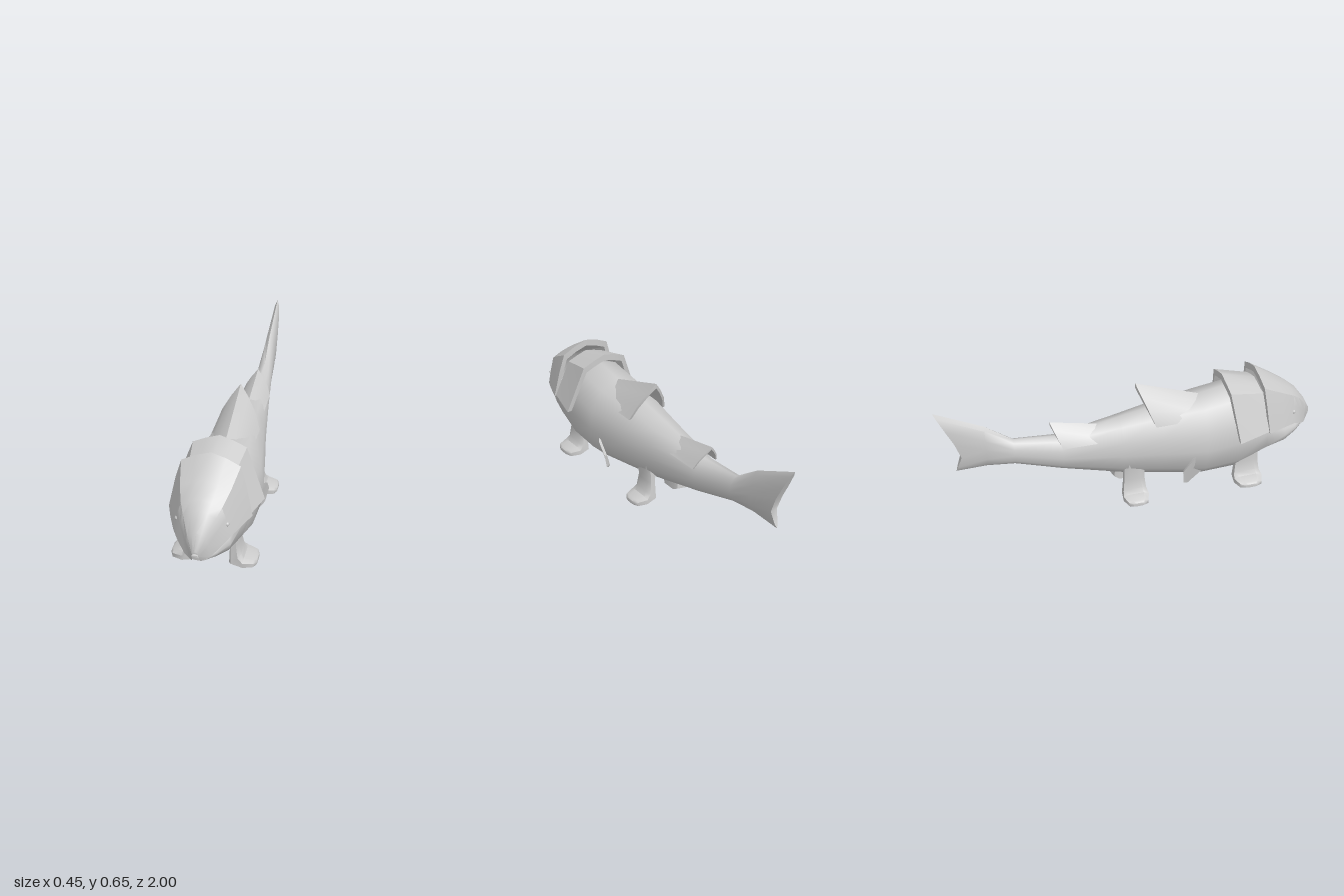
import * as THREE from 'three';
import { toCreasedNormals } from 'three/addons/utils/BufferGeometryUtils.js';

const material = new THREE.MeshStandardMaterial({ color: 0xcccccc, side: THREE.DoubleSide });
const lerp = THREE.MathUtils.lerp;

// Closed solid through a list of equal-length rings of [x, y, z]; ends are capped with strips.
function loft(name, rings, crease = 0.85) {
  const n = rings[0].length, last = (rings.length - 1) * n, index = [];
  const quad = (a, b, c, d) => index.push(a, b, c, a, c, d);
  for (let r = 0; r < rings.length - 1; r++) {
    for (let i = 0; i < n; i++) {
      const j = (i + 1) % n;
      quad(r * n + i, r * n + j, (r + 1) * n + j, (r + 1) * n + i);
    }
  }
  for (let i = 0; i < Math.floor(n / 2) - 1; i++) {
    const c = [i, n - 1 - i, n - 2 - i, i + 1];
    quad(...c);
    quad(...c.reverse().map((k) => k + last));
  }
  if (n % 2) {
    const m = (n - 1) / 2;
    index.push(m - 1, m + 1, m, last + m, last + m + 1, last + m - 1);
  }
  // Turn the faces outward if the enclosed volume is negative
  const p = rings.flat().map((v) => new THREE.Vector3(...v));
  let volume = 0;
  for (let i = 0; i < index.length; i += 3) {
    volume += p[index[i]].dot(p[index[i + 1]].clone().cross(p[index[i + 2]]));
  }
  if (volume < 0) index.reverse();
  const geometry = new THREE.BufferGeometry();
  geometry.setAttribute('position', new THREE.Float32BufferAttribute(rings.flat(2), 3));
  geometry.setIndex(index);
  const mesh = new THREE.Mesh(toCreasedNormals(geometry, crease), material);
  mesh.name = name;
  return mesh;
}

// Body section: [x share of half width, y share of height] from belly to back
const BODY_SIDE = [[0.5, 0.07], [0.92, 0.24], [1, 0.48], [0.92, 0.7], [0.58, 0.92]];
function bodyRing([z, top, bottom, w, zTop = z, zBottom = z]) {
  const point = (x, f) => [
    x * w, lerp(bottom, top, f),
    f < 0.28 ? lerp(zBottom, z, f / 0.28) : lerp(z, zTop, (f - 0.28) / 0.72),
  ];
  return [
    point(0, 0), ...BODY_SIDE.map(([x, f]) => point(x, f)),
    point(0, 1), ...[...BODY_SIDE].reverse().map(([x, f]) => point(-x, f)),
  ];
}

// Thick hood arching over the body: outer arc, then inner arc back again.
// Section: [zTop, zBottom, top, bottom, half width]; profile: [x share, share of the way down]
function hood(name, profile, sections, inner = 0.88) {
  const arc = [...[...profile].reverse().map(([x, d]) => [-x, d]), ...profile.slice(1)];
  return loft(name, sections.map(([zTop, zBottom, top, bottom, w]) => {
    const place = (k) => ([x, d]) => [
      x * w * k, bottom + (top - bottom) * (1 - d) * k, lerp(zTop, zBottom, d),
    ];
    return [...arc.map(place(1)), ...[...arc].reverse().map(place(inner))];
  }), 0.7);
}

// Leg sections: [x, y, turn, half thickness, half width along z], hip to toe
const LEG = [
  [0.1, 0.22, 0, 0.03, 0.06],
  [0.103, 0.12, 0, 0.021, 0.062],
  [0.107, 0.036, 0.78, 0.042, 0.07],
  [0.15, 0.021, Math.PI / 2, 0.021, 0.078],
  [0.2, 0.018, Math.PI / 2, 0.017, 0.06],
  [0.212, 0.017, Math.PI / 2, 0.01, 0.035],
];
const OCTAGON = [[1, 0.6], [0.6, 1], [-0.6, 1], [-1, 0.6], [-1, -0.6], [-0.6, -1], [0.6, -1], [1, -0.6]];
function leg(name, side, dx, z, widthScale) {
  return loft(name, LEG.map(([x, y, turn, t, w]) => OCTAGON.map(([u, v]) => [
    side * (x + dx + Math.cos(turn) * t * u),
    Math.max(0, y + Math.sin(turn) * t * u),
    z + w * widthScale * v,
  ])));
}

// Outline of the side fin's outer face
const FIN = [
  [0.165, 0.25, 0.31], [0.19, 0.235, 0.275], [0.19, 0.17, 0.225], [0.172, 0.09, 0.235],
  [0.14, 0.06, 0.27], [0.122, 0.1, 0.34], [0.14, 0.16, 0.37],
];

export function createModel() {
  const model = new THREE.Group();
  model.name = 'armouredFish';

  // Body from lower jaw to forked tail: [z, top, bottom, half width, zTop, zBottom]
  model.add(loft('body', [
    [0.95, 0.255, 0.232, 0.035],
    [0.9, 0.285, 0.212, 0.08],
    [0.82, 0.32, 0.178, 0.125],
    [0.7, 0.5, 0.12, 0.165],
    [0.54, 0.55, 0.048, 0.185],
    [0.36, 0.52, 0.045, 0.188],
    [0.13, 0.49, 0.083, 0.15],
    [-0.07, 0.455, 0.12, 0.115],
    [-0.38, 0.4, 0.205, 0.07],
    [-0.62, 0.425, 0.28, 0.042],
    [-0.76, 0.53, 0.292, 0.032],
    [-0.88, 0.65, 0.29, 0.02, -1, -0.915],
  ].map(bodyRing), 1));

  // Head plate and overlapping collar plate
  model.add(hood('headPlate', [[0, 0], [0.36, 0.07], [0.7, 0.18], [0.84, 0.5], [1, 1]], [
    [1, 0.975, 0.315, 0.25, 0.022],
    [0.96, 0.95, 0.39, 0.262, 0.06],
    [0.9, 0.9, 0.47, 0.3, 0.108],
    [0.86, 0.86, 0.503, 0.322, 0.135],
    [0.785, 0.785, 0.555, 0.33, 0.168],
    [0.665, 0.695, 0.63, 0.33, 0.2],
  ]));
  model.add(hood('collarPlate', [[0, 0], [0.3, 0.07], [0.58, 0.16], [0.75, 0.5], [1, 1]], [
    [0.67, 0.695, 0.565, 0.335, 0.19],
    [0.485, 0.525, 0.615, 0.315, 0.225],
  ]));

  // Back fins, spread like small roofs
  const ridge = [[0, 0], [0.38, 0.28], [0.75, 0.62], [1, 1]];
  model.add(hood('frontBackFin', ridge, [
    [0.36, 0.31, 0.52, 0.43, 0.115],
    [0.02, 0.1, 0.64, 0.43, 0.115],
  ]));
  model.add(hood('rearBackFin', ridge, [
    [-0.14, -0.2, 0.425, 0.365, 0.08],
    [-0.43, -0.38, 0.49, 0.365, 0.077],
  ]));

  for (const [side, label] of [[1, 'left'], [-1, 'right']]) {
    model.add(leg(label + 'FrontLeg', side, 0, 0.61, 1));
    model.add(leg(label + 'RearLeg', side, -0.017, -0.012, 0.88));

    // Thin side fin
    const face = (inset) => FIN.map(([x, y, z]) => [side * (x - inset), y, z + inset * 0.4]);
    model.add(loft(label + 'SideFin', [face(0), face(0.018)], 0.5));

    const eye = new THREE.Mesh(new THREE.SphereGeometry(0.011, 12, 8), material);
    eye.name = label + 'Eye';
    eye.position.set(side * 0.116, 0.385, 0.857);
    model.add(eye);
  }
  return model;
}
